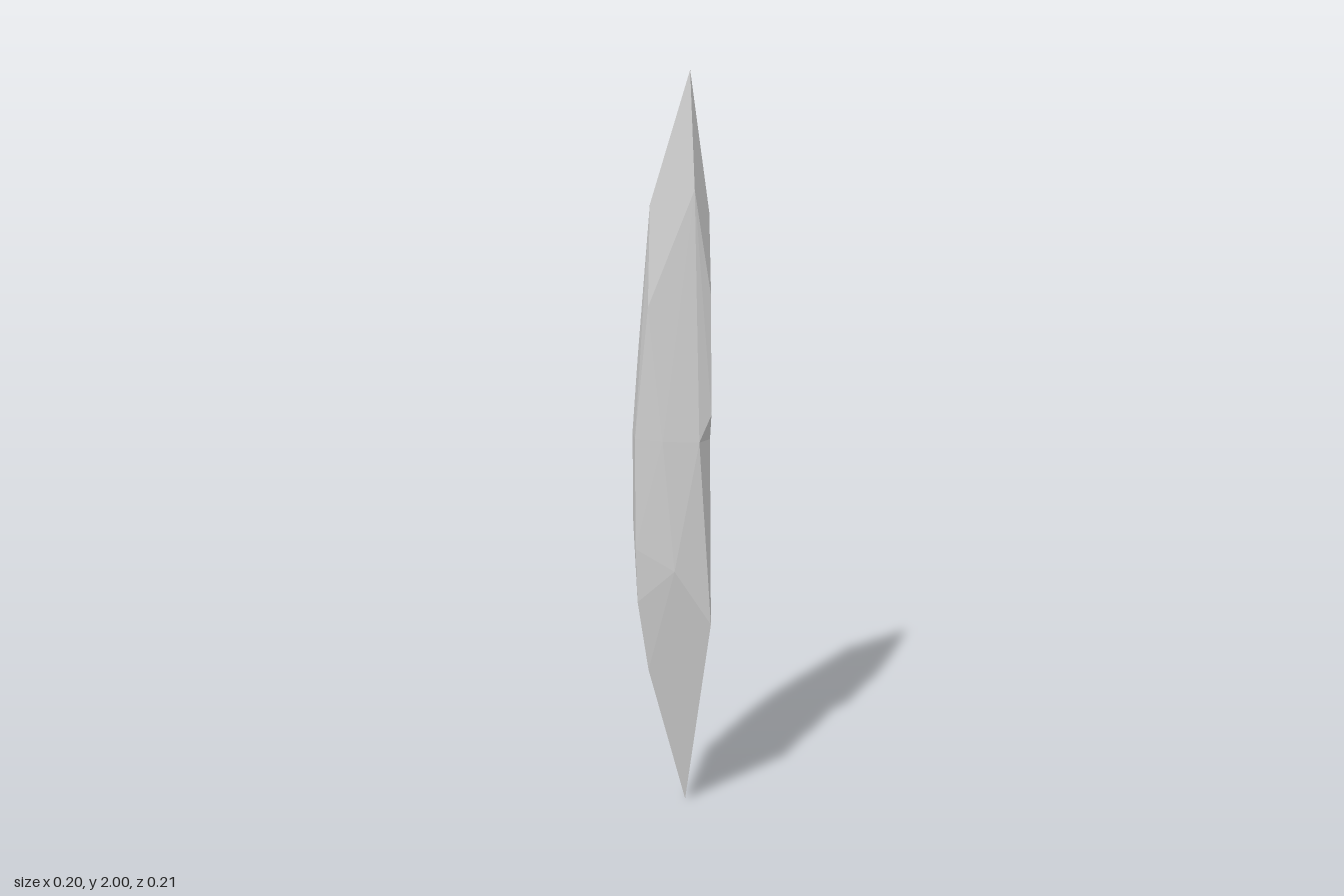
import * as THREE from 'three';
import { ConvexGeometry } from 'three/addons/geometries/ConvexGeometry.js';

const SEAM = 1.05;

// Cross-section shared by the two halves, as [x, z]
const girdle = [
  [0.065, 0.104], [0.098, 0.06], [0.098, -0.1], [-0.04, -0.105],
  [-0.1, -0.055], [-0.1, 0.045], [-0.03, 0.086],
].map(([x, z]) => [x, SEAM, z]);

// Corners above the seam; the last one overhangs it and forms the chip in the front edge
const upperCorners = [
  [0.05, 2, -0.012],
  [-0.055, 1.66, -0.005], [-0.065, 1.4, 0.053], [0.055, 1.7, 0.062],
  [0.098, 1.64, 0.015], [0.098, 1.43, 0.065],
  [-0.02, 1.6, -0.105], [0.09, 1.2, -0.105], [0.098, 1.2, -0.09],
  [-0.085, 1.25, -0.06],
  [0.098, 1.12, 0.09],
];

// Corners below the seam
const lowerCorners = [
  [0.04, 0, 0],
  [0, 0.7, 0.103], [0.098, 0.55, 0.105],
  [-0.1, 0.75, 0.05], [-0.095, 0.6, 0.045], [-0.065, 0.4, 0.03],
  [-0.1, 0.8, -0.045], [-0.065, 0.42, -0.055],
  [-0.05, 0.85, -0.105], [0, 0.7, -0.105], [-0.02, 0.26, -0.055],
  [0.098, 0.42, -0.03],
];

// Convex faceted half, left open at the seam
function half(corners) {
  const points = [...girdle, ...corners].map((p) => new THREE.Vector3(...p));
  const pos = new ConvexGeometry(points).attributes.position;
  const kept = [];
  for (let i = 0; i < pos.count; i += 3) {
    const isCap = [0, 1, 2].every((k) => Math.abs(pos.getY(i + k) - SEAM) < 1e-4);
    if (isCap) continue;
    for (let k = 0; k < 3; k++) kept.push(pos.getX(i + k), pos.getY(i + k), pos.getZ(i + k));
  }
  const geometry = new THREE.BufferGeometry();
  geometry.setAttribute('position', new THREE.Float32BufferAttribute(kept, 3));
  geometry.computeVertexNormals();
  return geometry;
}

export function createModel() {
  const group = new THREE.Group();
  group.name = 'crystalShard';
  const material = new THREE.MeshStandardMaterial({ color: 0xcccccc, flatShading: true });

  const parts = { upperShard: upperCorners, lowerShard: lowerCorners };
  for (const [name, corners] of Object.entries(parts)) {
    const mesh = new THREE.Mesh(half(corners), material);
    mesh.name = name;
    group.add(mesh);
  }
  return group;
}
